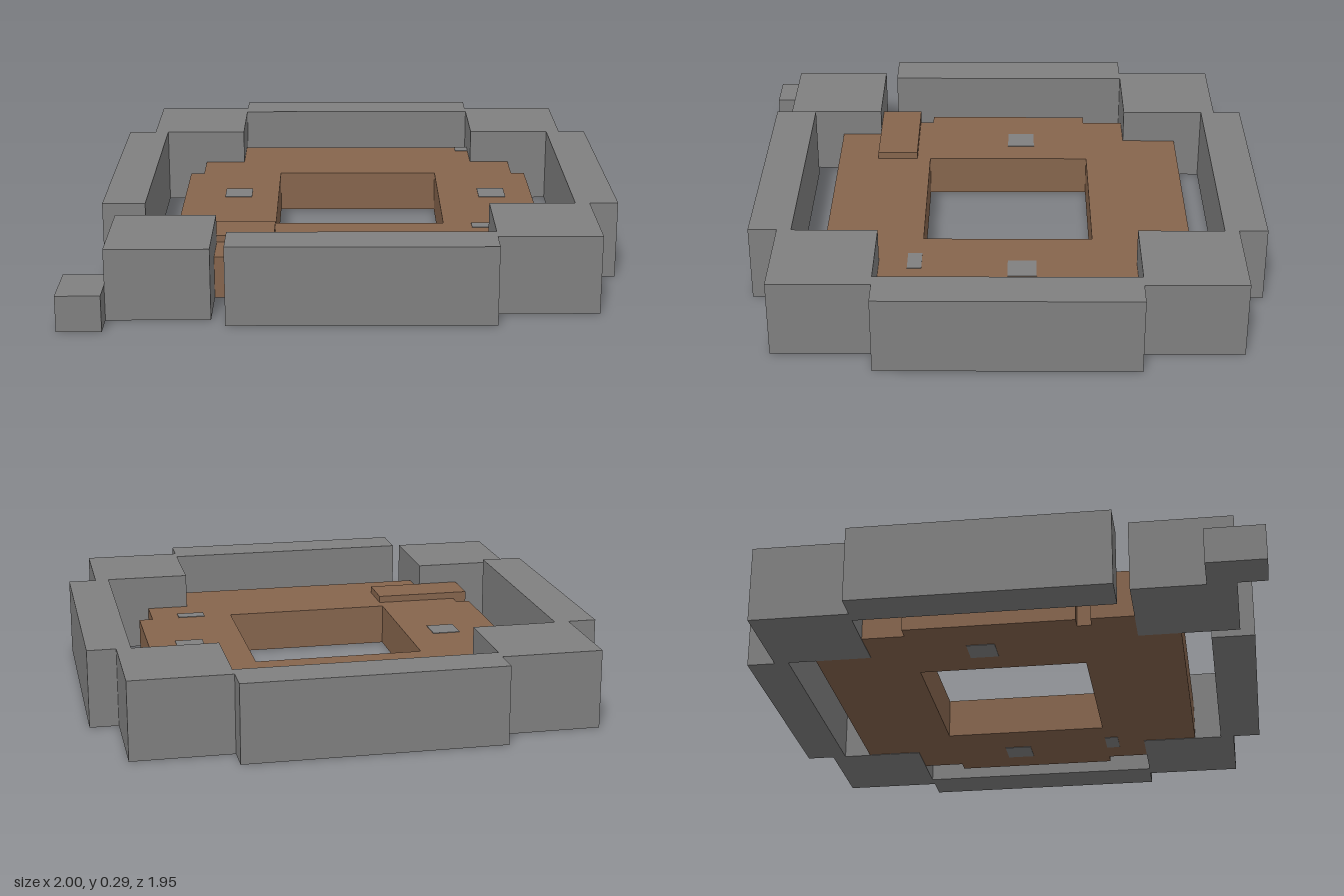
import * as THREE from 'three';

const U = 2 / 38; // one grid step of the layout
const stone = new THREE.MeshStandardMaterial({ color: 0x808080 });
stone.name = 'stone grey';
const earth = new THREE.MeshStandardMaterial({ color: 0x86654d });
earth.name = 'earth brown';

// Box given by its extents in grid steps
function block(name, material, x0, x1, z0, z1, y1, y0 = 0) {
  const geometry = new THREE.BoxGeometry((x1 - x0) * U, (y1 - y0) * U, (z1 - z0) * U);
  const mesh = new THREE.Mesh(geometry, material);
  mesh.position.set((x0 + x1) / 2 * U, (y0 + y1) / 2 * U, (z0 + z1) / 2 * U);
  mesh.name = name;
  return mesh;
}

export function createModel() {
  const model = new THREE.Group();
  model.name = 'courtyardFort';
  const lift = 0.04; // keeps the floor's underside clear of the stone

  // Outer walls
  const walls = new THREE.Group();
  walls.name = 'walls';
  walls.add(
    block('backWall', stone, -8, 10, -18.5, -15.5, 5.5),
    block('frontWall', stone, -8, 10, 14.5, 17.5, 5.5),
    block('leftWall', stone, 16, 19, -9.5, 8.5, 5.5),
    block('rightWall', stone, -17, -14, -9.5, 8.5, 5.5),
  );

  // Corner towers, the front right one lower and shifted outwards
  const towers = new THREE.Group();
  towers.name = 'cornerTowers';
  towers.add(
    block('backRightTower', stone, -15, -8, -16.5, -9.5, 5.5),
    block('backLeftTower', stone, 10, 17, -16.5, -9.5, 5.5),
    block('frontLeftTower', stone, 10, 17, 8.5, 15.5, 5.5),
    block('frontRightTower', stone, -16, -9, 9.5, 16.5, 5),
    block('outerStep', stone, -19, -16, 14.5, 18.5, 2.5),
  );

  // Floor ring with a square opening; sides stick out by one step
  const points = (list) => list.map(([x, z]) => new THREE.Vector2(x * U, -z * U));
  const outline = new THREE.Shape(points([
    [-11, 12.5], [13, 12.5], [13, 5.5], [14, 5.5], [14, -6.5], [13, -6.5],
    [13, -13.5], [-11, -13.5], [-11, -6.5], [-12, -6.5], [-12, 5.5], [-11, 5.5],
  ]));
  outline.holes.push(new THREE.Path(points([[-5, 5.5], [-5, -6.5], [7, -6.5], [7, 5.5]])));
  const floorGeometry = new THREE.ExtrudeGeometry(outline, { depth: (3 - lift) * U, bevelEnabled: false });
  floorGeometry.rotateX(-Math.PI / 2);
  const floor = new THREE.Mesh(floorGeometry, earth);
  floor.position.y = lift * U;
  floor.name = 'floor';

  // Low raised slab on the floor
  const slab = block('raisedSlab', earth, -12, -5, 6.5, 9.5, 3.5, lift);

  // Grey inlays flush with the floor, seen on top and below
  const inlays = new THREE.Group();
  inlays.name = 'floorInlays';
  for (const [x0, x1, z0, z1] of [[-9, -7, -2.5, -0.5], [10.5, 12.5, -2.5, -0.5].map((v, i) => (i < 2 ? v - 0.5 : v)),
    [9, 11, 5.5, 6.5], [9, 10, -13.5, -12.5]]) {
    inlays.add(block('topInlay', stone, x0, x1, z0, z1, 3.04, 2.96));
    if (z0 > -10) inlays.add(block('bottomInlay', stone, x0, x1, z0, z1, 0.08, 0));
  }

  model.add(walls, towers, floor, slab, inlays);
  return model;
}
